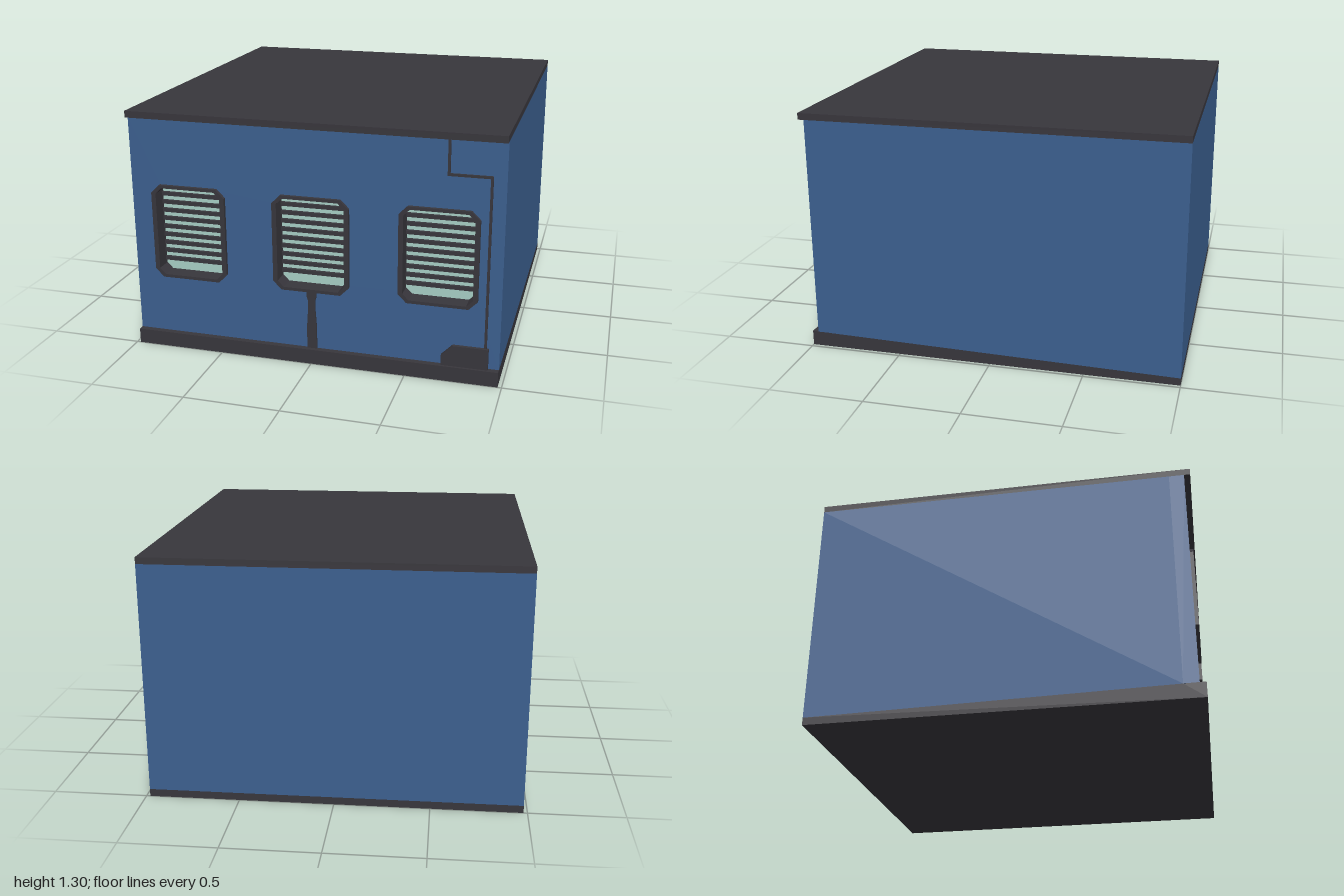
import * as THREE from 'three';

const mat = (name, color) => {
  const m = new THREE.MeshStandardMaterial({ color });
  m.name = name;
  return m;
};

// Closed outline from [x, y] points
const outline = (pts) => new THREE.Shape(pts.map(([x, y]) => new THREE.Vector2(x, y)));

// Chamfered rectangle centred on cx, cy
const octagon = (cx, cy, w, h, c) => [
  [cx - w + c, cy - h], [cx + w - c, cy - h], [cx + w, cy - h + c], [cx + w, cy + h - c],
  [cx + w - c, cy + h], [cx - w + c, cy + h], [cx - w, cy + h - c], [cx - w, cy - h + c],
];

export function createModel() {
  const blue = mat('wall blue', 0x3c6090);
  const dark = mat('dark trim', 0x38363c);
  const mint = mat('pale glass', 0xa8d0c6);
  const group = new THREE.Group();

  const HALF = 0.98;   // half width
  const WALL = 0.968;  // front wall face
  const BACK = 0.89;   // back of the front wall panel

  const add = (name, geo, material, parent = group) => {
    const mesh = new THREE.Mesh(geo, material);
    mesh.name = name;
    parent.add(mesh);
    return mesh;
  };
  const box = (name, x0, x1, y0, y1, z0, z1, material, parent) => {
    const g = new THREE.BoxGeometry(x1 - x0, y1 - y0, z1 - z0);
    g.translate((x0 + x1) / 2, (y0 + y1) / 2, (z0 + z1) / 2);
    return add(name, g, material, parent);
  };
  // Front-facing shape extruded between two depths
  const slab = (name, shape, z0, z1, material, parent) => {
    const g = new THREE.ExtrudeGeometry(shape, { depth: z1 - z0, bevelEnabled: false });
    g.translate(0, 0, z0);
    return add(name, g, material, parent);
  };
  // Side profile of [z, y] points extruded across the full width
  const across = (name, pts, material) => {
    const shape = outline(pts.map(([z, y]) => [-z, y]));
    const g = new THREE.ExtrudeGeometry(shape, { depth: 2 * HALF, bevelEnabled: false });
    g.translate(0, 0, -HALF);
    g.rotateY(Math.PI / 2);
    return add(name, g, material);
  };

  // Plinth with a top that slopes down to the back, main body and roof
  across('base', [[1, 0], [-1, 0], [-1, 0.04], [BACK, 0.078], [WALL, 0.08], [1, 0.08]], dark);
  across('body', [[BACK, 0.078], [-1, 0.04], [-1, 1.265], [BACK, 1.265]], blue);
  box('roof', -HALF, HALF, 1.265, 1.3, -1, 1, dark);

  // Front wall with three window openings
  const windowX = [-0.663, 0, 0.66];
  const midY = 0.655;
  const front = outline([[-HALF, 0.079], [HALF, 0.079], [HALF, 1.265], [-HALF, 1.265]]);
  for (const x of windowX) {
    front.holes.push(outline(octagon(x, midY, 0.193, 0.246, 0.042)));
  }
  slab('frontWall', front, BACK, WALL, blue);

  // Recessed louvred windows
  for (const x of windowX) {
    const win = new THREE.Group();
    win.name = 'window';
    group.add(win);
    const frame = outline(octagon(x, midY, 0.2025, 0.256, 0.045));
    frame.holes.push(outline(octagon(x, midY, 0.178, 0.24, 0.032)));
    slab('windowFrame', frame, BACK, 0.987, dark, win);
    slab('windowPane', outline(octagon(x, midY, 0.18, 0.242, 0.033)), BACK, 0.898, mint, win);
    for (let i = 0; i < 9; i++) {
      const y = 0.842 - i * 0.0455;
      box('louvre', x - 0.179, x + 0.179, y - 0.01, y + 0.01, 0.895, 0.915, dark, win);
    }
  }

  // Waisted post below the middle window
  slab('post', outline([
    [-0.026, 0.079], [0.026, 0.079], [0.026, 0.2], [0.019, 0.3], [0.019, 0.35], [0.026, 0.37],
    [0.026, 0.402], [-0.026, 0.402], [-0.026, 0.37], [-0.019, 0.35], [-0.019, 0.3], [-0.026, 0.2],
  ]), 0.95, 0.977, dark);

  // Stepped conduit running down to the floor box
  slab('conduit', outline([
    [0.694, 1.266], [0.694, 1.079], [0.902, 1.079], [0.902, 0.185],
    [0.915, 0.185], [0.915, 1.092], [0.707, 1.092], [0.707, 1.266],
  ]), 0.96, 0.977, dark);
  slab('floorBox', outline([
    [0.685, 0.079], [0.925, 0.079], [0.925, 0.192], [0.742, 0.192], [0.685, 0.134],
  ]), 0.95, 0.987, dark);

  return group;
}
